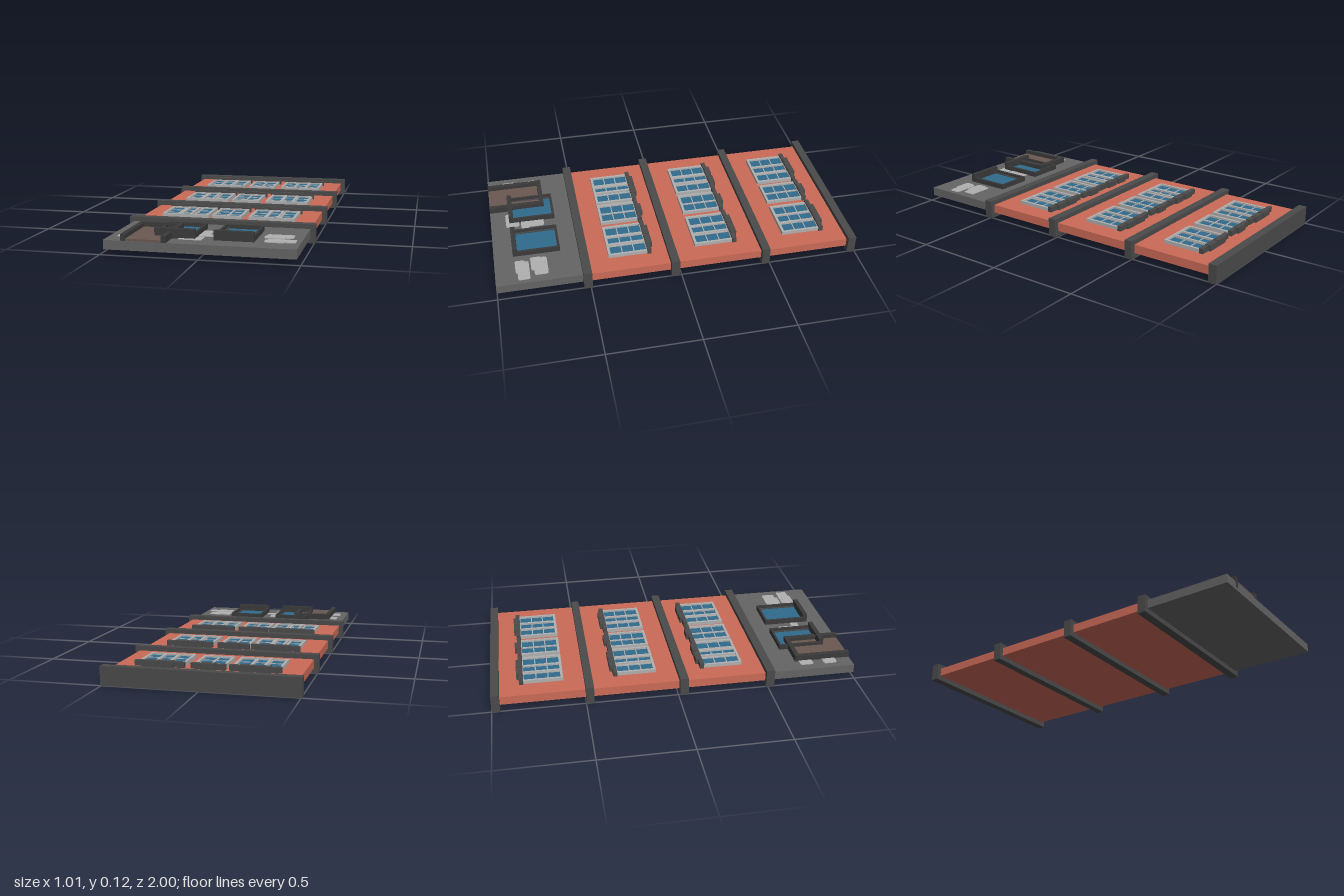
import * as THREE from 'three';

const mat = (color) => new THREE.MeshStandardMaterial({ color });
const M = {
  brick: mat(0xcb6a57), base: mat(0x646464), trim: mat(0x4a4a4a), dark: mat(0x3a3a3a),
  frame: mat(0xb0b0b0), glass: mat(0x2f6a8c), door: mat(0x6b5752),
};

// Box given by its limits on each axis
function box(parent, name, material, x0, x1, y0, y1, z0, z1) {
  const mesh = new THREE.Mesh(new THREE.BoxGeometry(x1 - x0, y1 - y0, z1 - z0), material);
  mesh.position.set((x0 + x1) / 2, (y0 + y1) / 2, (z0 + z1) / 2);
  mesh.name = name;
  parent.add(mesh);
  return mesh;
}

// Six-pane sash window with a lintel and keystone, top edge at z = 0
function sashWindow() {
  const g = new THREE.Group();
  g.name = 'sashWindow';
  const w = 0.083, h = 0.225, t = 0.014, y0 = 0.07, y1 = 0.094;
  box(g, 'glass', M.glass, -w + t, w - t, y0, 0.084, t, h - t);
  for (const s of [-1, 1]) {
    const x = s * (w - t / 2);
    box(g, 'frameSide', M.frame, x - t / 2, x + t / 2, y0, y1, 0, h);
  }
  box(g, 'frameTop', M.frame, -w + t, w - t, y0, y1, 0, t);
  box(g, 'frameBottom', M.frame, -w + t, w - t, y0, y1, h - t, h);
  box(g, 'mullion', M.frame, -0.005, 0.005, y0, 0.09, t, h - t);
  for (const k of [1, 2]) {
    const z = t + (k * (h - 2 * t)) / 3;
    box(g, 'glazingBar', M.frame, -w + t, w - t, y0, 0.087, z - 0.003, z + 0.003);
  }
  box(g, 'lintel', M.trim, -0.09, 0.09, y0, 0.104, -0.013, 0.01);
  box(g, 'keystone', M.trim, -0.037, 0.037, y0, 0.108, -0.026, 0.006);
  return g;
}

// Deep shop window with a heavy sill
function shopWindow(x0, x1) {
  const g = new THREE.Group();
  g.name = 'shopWindow';
  const z0 = 0.635, z1 = 0.895, t = 0.014;
  box(g, 'glass', M.glass, x0 + t, x1 - t, 0.07, 0.084, z0 + t, z1 - 0.025);
  box(g, 'sideLeft', M.dark, x0, x0 + t, 0.07, 0.104, z0, z1 - 0.025);
  box(g, 'sideRight', M.dark, x1 - t, x1, 0.07, 0.104, z0, z1 - 0.025);
  box(g, 'head', M.dark, x0 + t, x1 - t, 0.07, 0.104, z0, z0 + 0.012);
  box(g, 'sill', M.dark, x0, x1, 0.07, 0.125, z1 - 0.025, z1);
  // Slim inner sash
  for (const x of [x0 + t, x1 - t - 0.008])
    box(g, 'innerSash', M.trim, x, x + 0.008, 0.07, 0.09, z0 + 0.012, z1 - 0.025);
  return g;
}

// Flat exposed stone with rounded corners
function stone(x0, x1, z0, z1, top) {
  const w = (x1 - x0) / 2, h = (z1 - z0) / 2, r = Math.min(w, h) * 0.35;
  const s = new THREE.Shape();
  s.moveTo(-w + r, -h);
  s.lineTo(w - r, -h);
  s.quadraticCurveTo(w, -h, w, -h + r);
  s.lineTo(w, h - r);
  s.quadraticCurveTo(w, h, w - r, h);
  s.lineTo(-w + r, h);
  s.quadraticCurveTo(-w, h, -w, h - r);
  s.lineTo(-w, -h + r);
  s.quadraticCurveTo(-w, -h, -w + r, -h);
  const geo = new THREE.ExtrudeGeometry(s, { depth: top - 0.07, bevelEnabled: false, curveSegments: 3 });
  geo.rotateX(-Math.PI / 2);
  const mesh = new THREE.Mesh(geo, M.frame);
  mesh.position.set((x0 + x1) / 2, 0.07, (z0 + z1) / 2);
  mesh.name = 'exposedStone';
  return mesh;
}

export function createModel() {
  const root = new THREE.Group();
  root.name = 'buildingFacade';

  // Wall panels
  const bands = [[-1, -0.955], [-0.5, -0.456], [0.01, 0.056], [0.49, 0.537]];
  for (let i = 0; i < 3; i++)
    box(root, 'brickWall', M.brick, -0.48, 0.48, 0.028, 0.075, bands[i][1], bands[i + 1][0]);
  box(root, 'groundFloorWall', M.base, -0.48, 0.48, 0.028, 0.076, 0.537, 1);

  // Projecting string courses and cornice
  for (const [z0, z1] of bands) box(root, 'stringCourse', M.trim, -0.505, 0.505, 0, 0.1, z0, z1);

  // Upper windows: overlapping pairs either side of a single one
  const floors = [
    [-0.835, [-0.287, -0.203, -0.004, 0.208, 0.289]],
    [-0.327, [-0.287, -0.194, -0.004, 0.204, 0.289]],
    [0.157, [-0.287, -0.19, -0.004, 0.202, 0.289]],
  ];
  for (const [z, xs] of floors)
    xs.forEach((x, i) => {
      const win = sashWindow();
      win.position.set(x, (i % 2) * 0.0006, z);
      root.add(win);
    });

  // Shop windows
  root.add(shopWindow(-0.25, -0.042), shopWindow(0.052, 0.255));

  // Doorway
  const door = new THREE.Group();
  door.name = 'doorway';
  box(door, 'doorPanel', M.door, -0.366, -0.184, 0.07, 0.087, 0.71, 0.998);
  box(door, 'doorHead', M.dark, -0.391, -0.159, 0.07, 0.11, 0.685, 0.71);
  for (const x of [-0.391, -0.184])
    box(door, 'doorJamb', M.dark, x, x + 0.025, 0.045, 0.109, 0.71, 1);
  root.add(door);

  // Patches of exposed stone
  const stones = [
    [0.29, 0.43, 0.715, 0.79], [0.285, 0.39, 0.745, 0.805],
    [0.31, 0.455, 0.815, 0.88], [0.3, 0.4, 0.835, 0.89],
    [-0.07, 0.01, 0.7, 0.8], [-0.05, 0.045, 0.785, 0.83],
    [-0.125, -0.005, 0.84, 0.915],
    [-0.435, -0.37, 0.705, 0.78], [-0.44, -0.37, 0.84, 0.915],
  ];
  stones.forEach((s, i) => root.add(stone(...s, 0.079 + (i % 2) * 0.001)));

  return root;
}
